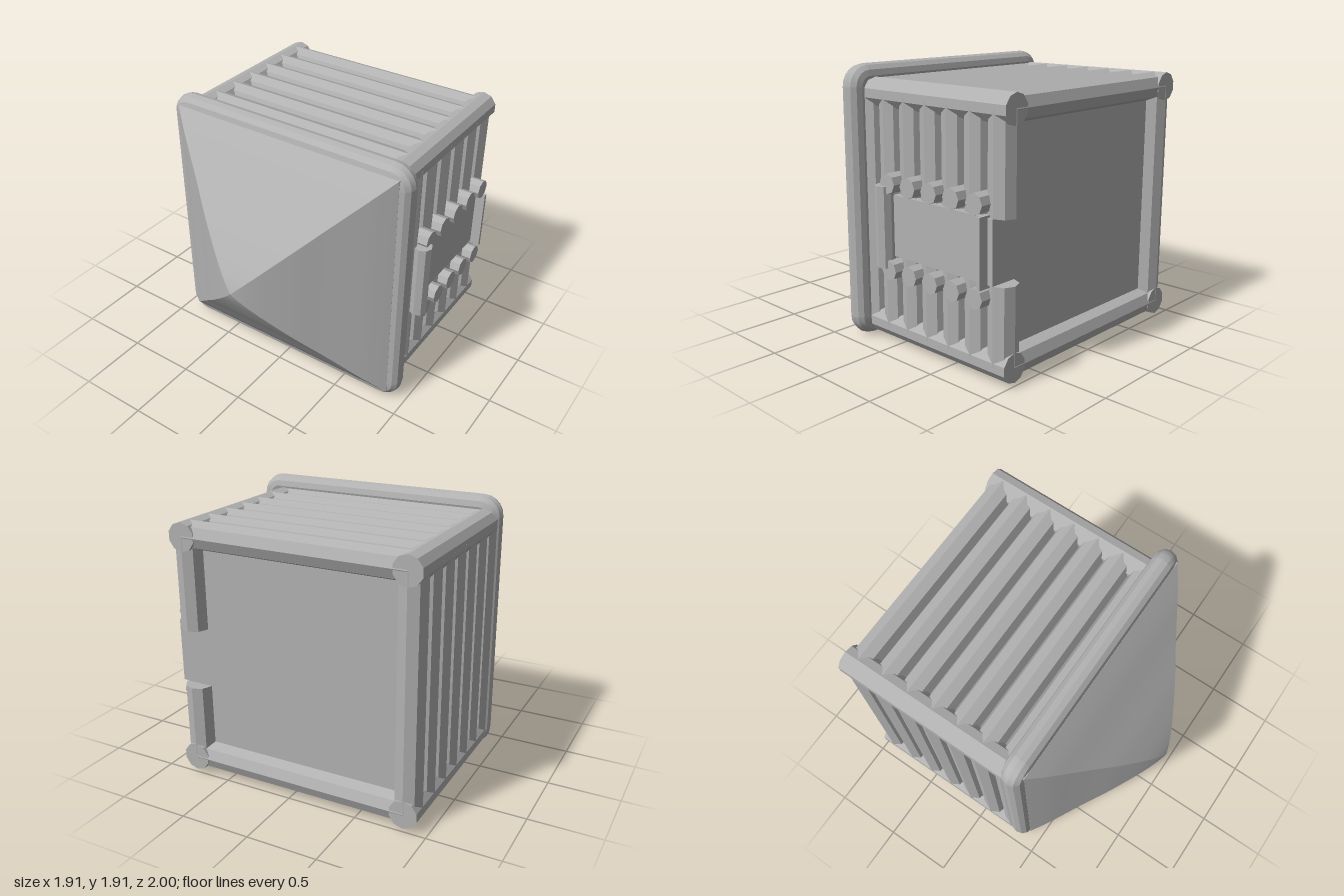
import * as THREE from 'three';
import { toCreasedNormals } from 'three/addons/utils/BufferGeometryUtils.js';

const CX = -0.04, CY = 0.93;   // body centre
const HALF = 0.8;              // distance from body centre to wall axes
const PITCH = 0.195, BAR_R = 0.0975, BACK = -0.905;

export function createModel() {
  const model = new THREE.Group();
  const grey = new THREE.MeshStandardMaterial({ color: 0xb2b2b2 });
  grey.name = 'plain grey';

  function add(name, geometry, x, y, z, crease = 0.1) {
    const mesh = new THREE.Mesh(toCreasedNormals(geometry, crease), grey);
    mesh.name = name;
    mesh.position.set(x, y, z);
    model.add(mesh);
    return mesh;
  }
  // Faceted rod between two coordinates along one axis; a, b are the other two in xyz order
  function rod(name, axis, from, to, a, b, r, sides = 8) {
    const g = new THREE.CylinderGeometry(r, r, to - from, sides);
    const mid = (from + to) / 2;
    if (axis === 'x') return add(name, g.rotateZ(Math.PI / 2), mid, a, b);
    if (axis === 'z') return add(name, g.rotateX(Math.PI / 2), a, b, mid);
    return add(name, g, a, mid, b);
  }
  function box(name, x0, x1, y0, y1, z0, z1) {
    add(name, new THREE.BoxGeometry(x1 - x0, y1 - y0, z1 - z0),
      (x0 + x1) / 2, (y0 + y1) / 2, (z0 + z1) / 2);
  }

  const left = CX + HALF, right = CX - HALF, top = CY + HALF, bottom = CY - HALF;

  // Body core and long corner posts
  box('bodyCore', right, left, bottom, top, BACK, 0.33);
  for (const x of [left, right])
    for (const y of [top, bottom]) rod('cornerPost', 'z', -1, 0.33, x, y, 0.1, 10);

  // Octagonal bars around the four walls, interrupted by the side panel
  const panelLow = 0.66, panelHigh = 1.08;
  for (let i = 0; i < 7; i++) {
    const z = BACK + i * PITCH;
    rod('topBar', 'x', right, left, top, z, BAR_R);
    rod('bottomBar', 'x', right, left, bottom, z, BAR_R);
    rod('rightBar', 'y', bottom, top, right, z, BAR_R);
    if (z < -0.05) {
      rod('leftBarUpper', 'y', panelHigh, top, left, z, BAR_R);
      rod('leftBarLower', 'y', bottom, panelLow, left, z, BAR_R);
    } else rod('leftBar', 'y', bottom, top, left, z, BAR_R);
  }

  // Side panel with end post, thin end strip and stubs above and below
  box('sidePanel', 0.7, 0.86, panelLow, panelHigh, BACK, -0.02);
  rod('panelPost', 'y', 0.585, 1.145, 0.89, 0.035, 0.065);
  box('panelStrip', 0.8, 0.932, 0.64, 1.095, -0.865, -0.84);
  for (let i = 0; i < 5; i++)
    for (const y of [0.573, 1.165]) rod('stub', 'x', 0.76, 0.92, y, -0.025 - i * PITCH, 0.07);

  // Rounded square frame: four rods and four quarter rings
  const FY = 0.9625, FZ = 0.33, R = 0.07, TUBE = 0.08, edge = 0.955 - TUBE, inner = edge - R;
  for (const s of [-1, 1]) {
    rod('frameRail', 'x', -inner, inner, FY + s * edge, FZ, TUBE, 12);
    rod('frameStile', 'y', FY - inner, FY + inner, s * edge, FZ, TUBE, 12);
  }
  for (let i = 0; i < 4; i++) {
    const a = i * Math.PI / 2;
    const g = new THREE.TorusGeometry(R, TUBE, 12, 5, Math.PI / 2).rotateZ(a);
    add('frameCorner', g, inner * Math.sign(Math.cos(a + Math.PI / 4)),
      FY + inner * Math.sign(Math.sin(a + Math.PI / 4)), FZ, 0.35);
  }

  // Curved four-sided nose with a blunt tip
  const slope = new THREE.SplineCurve([
    [0.88, 0.41], [0.76, 0.505], [0.64, 0.59], [0.51, 0.682], [0.385, 0.775],
    [0.27, 0.853], [0.17, 0.917], [0.09, 0.962], [0.04, 0.985], [0, 1],
  ].map(([h, z]) => new THREE.Vector2(h * Math.SQRT2, z))).getPoints(24);
  slope[slope.length - 1].x = 0;
  const base = 0.88 * Math.SQRT2;
  const profile = [new THREE.Vector2(0, 0.3), new THREE.Vector2(base, 0.3), ...slope];
  const nose = new THREE.LatheGeometry(profile, 4, Math.PI / 4).rotateX(Math.PI / 2);
  add('nose', nose, 0, FY, 0, 0.4);

  return model;
}
